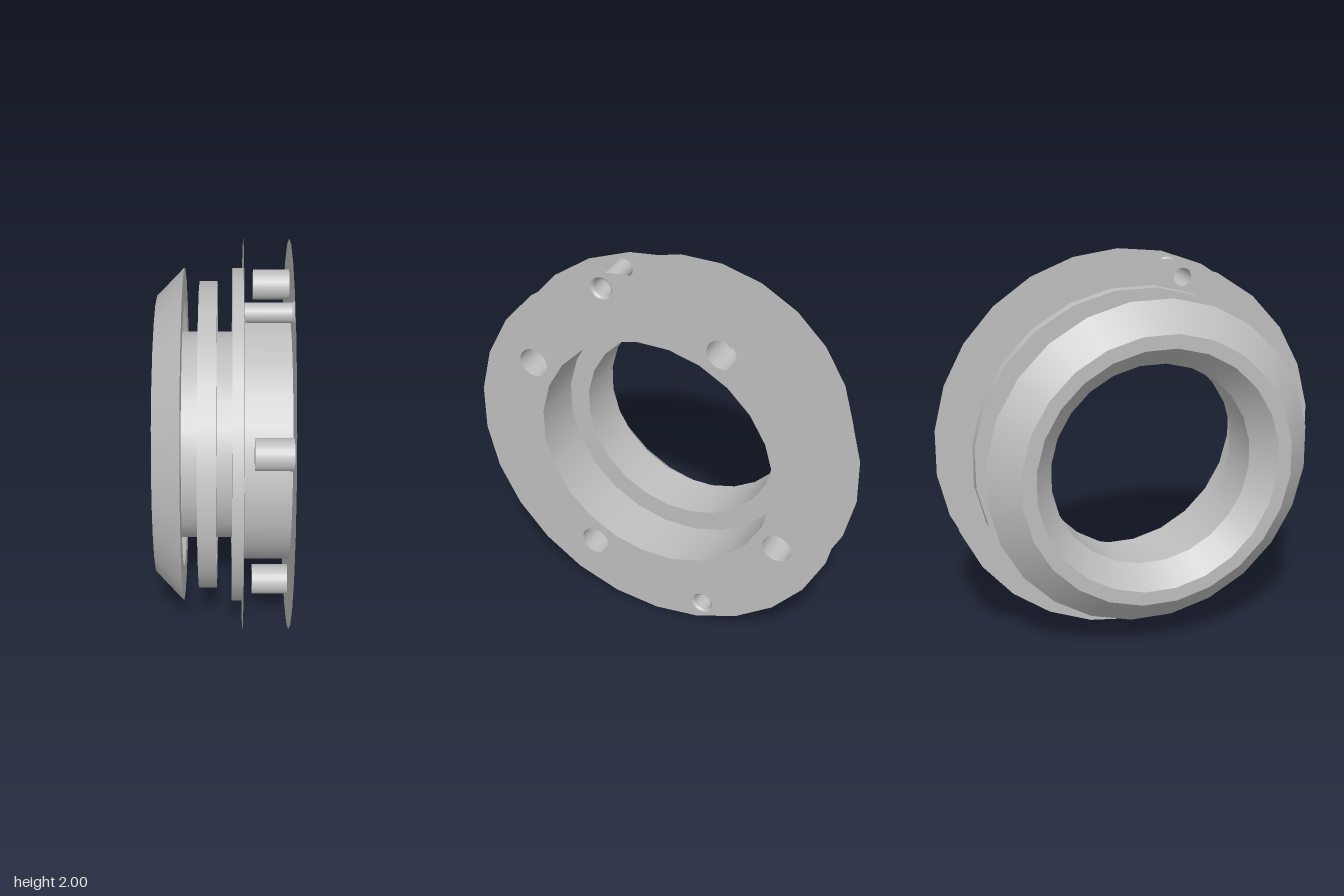
import * as THREE from 'three';

const SIDES = 24, RIM_SIDES = 26;
const BORE = 0.532, COUNTERBORE = 0.641, STEP = 0.857, RING = 0.79, FLOOR = 0.68;

export function createModel() {
  const group = new THREE.Group();
  const metal = new THREE.MeshStandardMaterial({ color: 0xbfbfbf, side: THREE.DoubleSide });
  metal.name = 'grey metal';

  const add = (name, geometry, y = 1, z = 0) => {
    const mesh = new THREE.Mesh(geometry, metal);
    mesh.name = name;
    mesh.position.set(0, y, z);
    group.add(mesh);
  };

  // Surface of revolution about x, from (x0, r0) to (x1, r1); rising x faces outward
  const wall = (name, x0, r0, x1, r1, y, z, sides = SIDES) => {
    const profile = [new THREE.Vector2(r0, x0), new THREE.Vector2(r1, x1)];
    const g = new THREE.LatheGeometry(profile, sides, Math.PI / sides);
    g.rotateZ(-Math.PI / 2);
    add(name, g, y, z);
  };

  const circle = (r, sides = SIDES, phase = 0.5, cz = 0, cy = 0) => {
    const points = [];
    for (let i = 0; i < sides; i++) {
      const a = (i + phase) / sides * Math.PI * 2;
      points.push(new THREE.Vector2(-cz + r * Math.sin(a), cy + r * Math.cos(a)));
    }
    return points;
  };

  // Flat face across x with holes, turned to +x (dir 1) or -x (dir -1)
  const face = (name, x, dir, outer, holes = [], y, z) => {
    const shape = new THREE.Shape(outer);
    holes.forEach(h => shape.holes.push(new THREE.Path(h)));
    const g = new THREE.ShapeGeometry(shape);
    if (dir < 0) {
      const idx = g.index.array;
      for (let i = 0; i < idx.length; i += 3) [idx[i], idx[i + 1]] = [idx[i + 1], idx[i]];
      const n = g.attributes.normal;
      for (let i = 0; i < n.count; i++) n.setZ(i, -1);
    }
    g.rotateY(Math.PI / 2).translate(x, 0, 0);
    add(name, g, y, z);
  };

  // Hole centres as [z, y offset]
  const screws = [[0.675, 0.36], [-0.357, 0.68], [-0.675, -0.357], [0.36, -0.672]];
  const pins = [[0.27, 0.88], [-0.27, -0.87]];

  // Mounting flange faces
  face('flangeFrontFace', 0.333, 1, circle(1, RIM_SIDES, 0), [
    circle(COUNTERBORE),
    ...screws.map(([z, y]) => circle(0.077, SIDES, 0.5, z, y)),
    ...pins.map(([z, y]) => circle(0.058, SIDES, 0.5, z, y)),
  ]);
  face('flangeBackFace', 0.1, -1, circle(1, RIM_SIDES, 0), [
    circle(STEP),
    ...pins.map(([z, y]) => circle(0.047, SIDES, 0.5, z, y)),
  ]);

  // Blind screw holes
  for (const [z, y] of screws) {
    wall('screwHole', 0.333, 0.077, 0.15, 0.077, 1 + y, z);
    face('screwHoleEnd', 0.15, 1, circle(0.077), [], 1 + y, z);
  }

  // Through pin holes with a countersunk mouth
  for (const [z, y] of pins) {
    wall('pinHole', 0.322, 0.047, 0.1, 0.047, 1 + y, z);
    wall('pinHoleMouth', 0.333, 0.058, 0.322, 0.047, 1 + y, z);
  }

  // Counterbore, shoulder, bore and rear chamfer
  wall('counterboreWall', 0.333, COUNTERBORE, 0.05, COUNTERBORE);
  face('shoulder', 0.05, 1, circle(COUNTERBORE), [circle(BORE)]);
  wall('bore', 0.05, BORE, -0.21, BORE);
  wall('boreChamfer', -0.21, BORE, -0.335, COUNTERBORE);

  // Step behind the flange
  wall('stepRim', 0.045, STEP, 0.1, STEP);
  face('stepBackFace', 0.045, -1, circle(STEP), [circle(FLOOR)]);

  // Middle ring between the two grooves
  wall('middleRingRim', -0.12, RING, -0.03, RING);
  face('middleRingFront', -0.03, 1, circle(RING), [circle(FLOOR)]);
  face('middleRingBack', -0.12, -1, circle(RING), [circle(FLOOR)]);

  // Tapered rear collar
  face('collarFront', -0.197, 1, circle(STEP), [circle(FLOOR)]);
  wall('collarTaper', -0.335, 0.714, -0.197, STEP);
  face('collarBack', -0.335, -1, circle(0.714), [circle(COUNTERBORE)]);

  return group;
}
